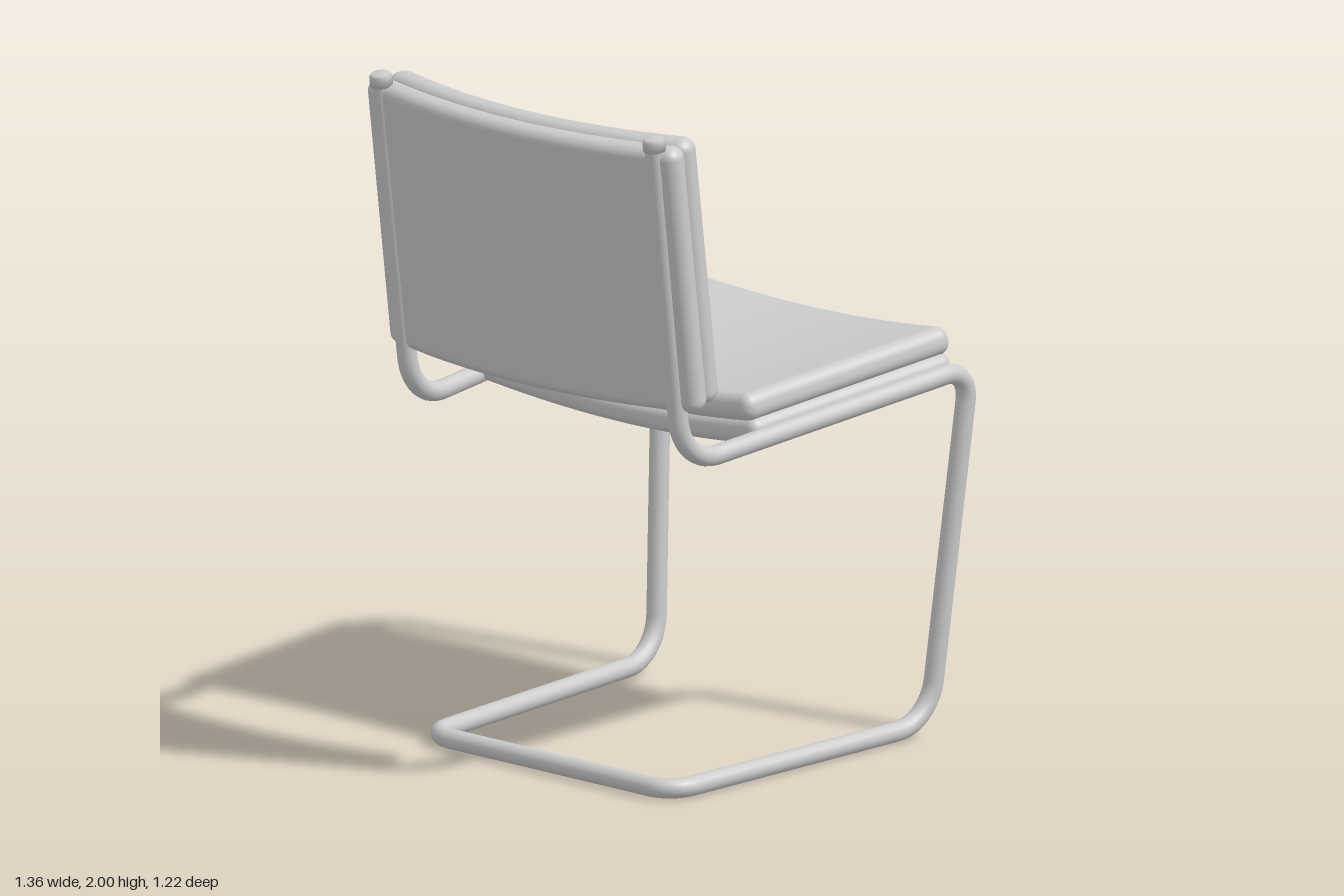
import * as THREE from 'three';
import { mergeVertices } from 'three/addons/utils/BufferGeometryUtils.js';

const material = new THREE.MeshStandardMaterial({ color: 0xcccccc });
const TUBE = 0.029;

function addMesh(parent, name, geometry) {
  const mesh = new THREE.Mesh(geometry, material);
  mesh.name = name;
  parent.add(mesh);
  return mesh;
}

// Straight runs joined by bends; each corner is [x, y, z, bend length]
function bentPath(corners) {
  const path = new THREE.CurvePath();
  const pts = corners.map(c => new THREE.Vector3(c[0], c[1], c[2]));
  let from = pts[0];
  for (let i = 1; i < pts.length - 1; i++) {
    const p = pts[i], d = corners[i][3];
    const toward = q => p.clone().add(q.clone().sub(p).setLength(d));
    const a = toward(pts[i - 1]), b = toward(pts[i + 1]);
    path.add(new THREE.LineCurve3(from, a));
    // cubic handles approximate a circular bend
    path.add(new THREE.CubicBezierCurve3(a, a.clone().lerp(p, 0.57), b.clone().lerp(p, 0.57), b));
    from = b;
  }
  path.add(new THREE.LineCurve3(from, pts[pts.length - 1]));
  return path;
}

// Cushion: rounded box (x length, y thickness, z width), tapered along x and curved across z
function cushion({ length, thickness, width, radius, y, sag, taper = 0, bow = 0 }) {
  const K = 5, M = 16, N = 2 * K + M;
  const geo = new THREE.BoxGeometry(1, 1, 1, N, N, N);
  geo.deleteAttribute('uv');
  geo.deleteAttribute('normal');
  const pos = geo.attributes.position;
  const half = [length / 2, thickness / 2, width / 2];
  const inner = new THREE.Vector3(), off = new THREE.Vector3(), v = new THREE.Vector3();
  for (let n = 0; n < pos.count; n++) {
    v.fromBufferAttribute(pos, n);
    for (let a = 0; a < 3; a++) {
      const i = Math.round((v.getComponent(a) + 0.5) * N);
      const t = THREE.MathUtils.clamp((i - K) / M, 0, 1) * 2 - 1;
      const o = i < K ? (i - K) / K : i > K + M ? (i - K - M) / K : 0;
      inner.setComponent(a, t * (half[a] - radius));
      off.setComponent(a, Math.tan(o * Math.PI / 4));
    }
    v.copy(inner).addScaledVector(off.normalize(), radius);
    v.y += y;
    const w = v.z / half[2];
    const slope = 2 * sag * w / half[2];
    const z = (v.z - v.y * slope) * (1 + taper * v.x / half[0]);
    pos.setXYZ(n, v.x + bow * (1 - w * w), v.y + sag * w * w, z);
  }
  const smooth = mergeVertices(geo, 1e-5);
  smooth.computeVertexNormals();
  return smooth;
}

export function createModel() {
  const chair = new THREE.Group();
  chair.name = 'cantileverChair';

  // One continuous bent tube: upright, side rail, leg, floor runner, then mirrored
  const side = [
    [-0.61, 1.98, 0.52, 0],
    [-0.485, 1.002, 0.515, 0.14],
    [0.66, 1.075, 0.585, 0.10],
    [0.56, 0.033, 0.52, 0.13],
    [-0.47, 0.033, 0.46, 0.08],
  ];
  const mirrored = side.map(([x, y, z, d]) => [x, y, -z, d]).reverse();
  const path = bentPath([...side, ...mirrored]);
  path.arcLengthDivisions = 800;
  addMesh(chair, 'tubeFrame', new THREE.TubeGeometry(path, 420, TUBE, 16, false));

  // End caps on the uprights
  for (const s of [1, -1]) {
    const cap = addMesh(chair, s > 0 ? 'leftEndCap' : 'rightEndCap',
      new THREE.LatheGeometry([[0, -0.02], [0.033, -0.02], [0.033, 0.01], [0.026, 0.018], [0, 0.018]]
        .map(p => new THREE.Vector2(...p)), 16));
    cap.position.set(-0.61, 1.98, 0.52 * s);
    cap.rotation.z = 0.13;
  }

  // Seat: upper and lower cushion
  const seat = new THREE.Group();
  seat.name = 'seat';
  seat.position.set(0.205, 1.06, 0);
  seat.rotation.z = 0.062;
  const seatShape = { width: 1.1, sag: 0.042, taper: 0.045, bow: 0.018 };
  addMesh(seat, 'seatCushion', cushion({ ...seatShape, length: 0.82, thickness: 0.082, radius: 0.036, y: 0.037 }));
  addMesh(seat, 'seatBase', cushion({ ...seatShape, length: 0.8, thickness: 0.078, radius: 0.034, y: -0.034 }));
  chair.add(seat);

  // Backrest: front and rear cushion, leaning back
  const back = new THREE.Group();
  back.name = 'backrest';
  back.position.set(-0.56, 1.565, 0);
  back.rotation.z = 0.13 - Math.PI / 2;
  const backShape = { length: 0.805, width: 1.15, sag: 0.078 };
  addMesh(back, 'backCushion', cushion({ ...backShape, thickness: 0.082, radius: 0.036, y: 0.037 }));
  addMesh(back, 'backShell', cushion({ ...backShape, thickness: 0.078, radius: 0.034, y: -0.034 }));
  chair.add(back);

  return chair;
}
